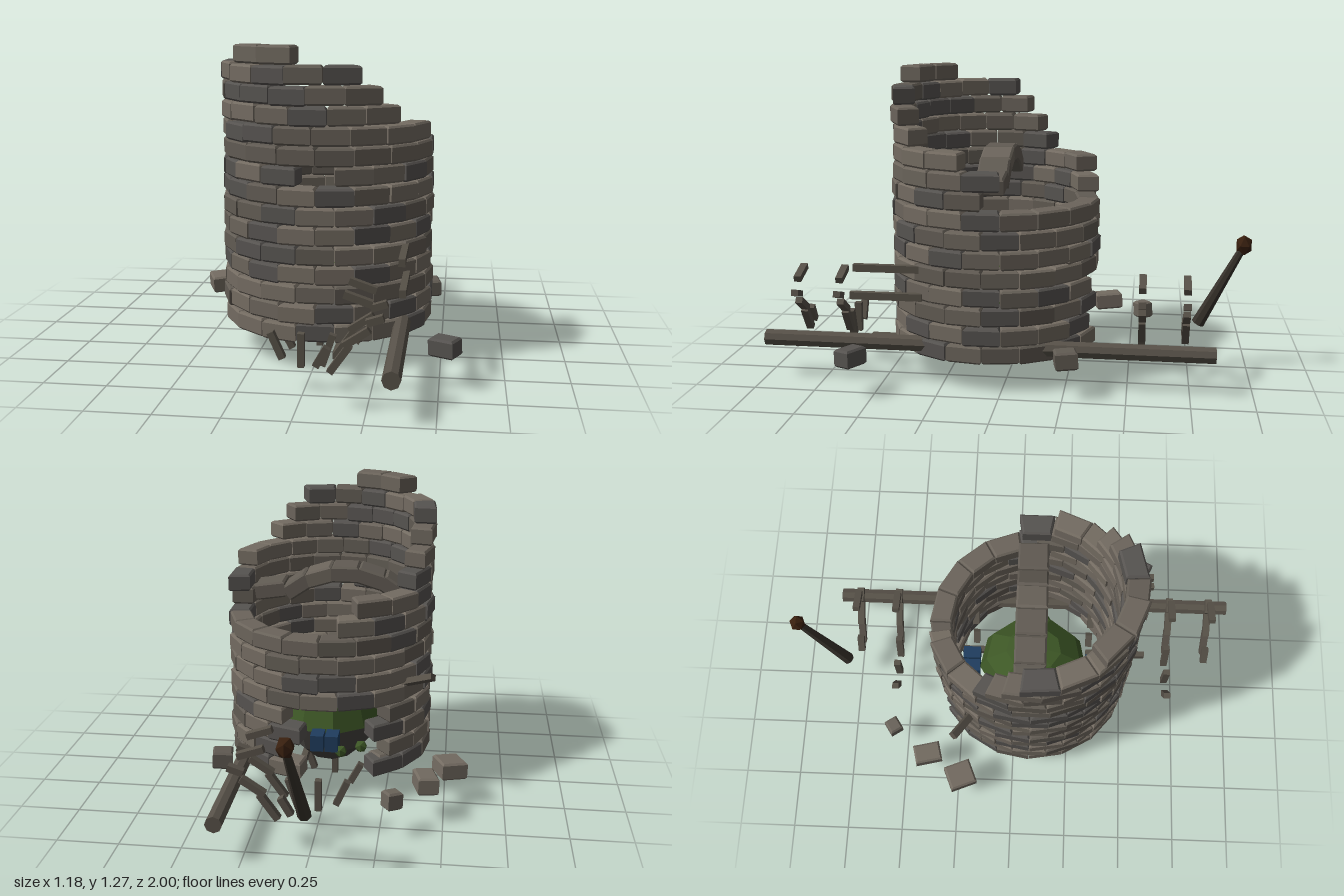
import * as THREE from 'three';

const CX = 0.015, CZ = 0.075, OUTER = 0.442, INNER = 0.35, PITCH = 0.0772;
const rad = THREE.MathUtils.degToRad;

let seed = 7;
const rnd = () => (seed = (seed * 16807) % 2147483647) / 2147483647;

const paint = (color) => new THREE.MeshStandardMaterial({ color, flatShading: true, side: THREE.DoubleSide });
const stones = [0x6b645b, 0x615b53, 0x565350, 0x736b61].map(paint);
const wood = paint(0x575148), darkWood = paint(0x38332c), ember = paint(0x39200f);
const moss = paint(0x3d5726), rock = paint(0x45433f), blue = paint(0x1f3d5e);
const anyStone = () => stones[Math.floor(rnd() * stones.length)];

function add(parent, name, geometry, material, x = 0, y = 0, z = 0) {
  const mesh = new THREE.Mesh(geometry, material);
  mesh.name = name;
  mesh.position.set(x, y, z);
  parent.add(mesh);
  return mesh;
}

// Chamfered block: a four-cornered outline extruded upwards, centred on y = 0
function block(corners, height, bevel = 0.008) {
  const shape = new THREE.Shape(corners.map(([x, y]) => new THREE.Vector2(x, y)));
  const g = new THREE.ExtrudeGeometry(shape, {
    depth: height - 2 * bevel, bevelEnabled: true, bevelSegments: 1,
    bevelThickness: bevel, bevelSize: bevel, bevelOffset: -bevel,
  });
  return g.translate(0, 0, bevel - height / 2).rotateX(-Math.PI / 2);
}

const boxBlock = (w, h, d) =>
  block([[-w / 2, -d / 2], [w / 2, -d / 2], [w / 2, d / 2], [-w / 2, d / 2]], h);

// Wedge-shaped wall brick facing +x, spanning 20 degrees
const half = rad(9.8);
const wallBrick = block([
  [INNER * Math.cos(half), -INNER * Math.sin(half)], [OUTER * Math.cos(half), -OUTER * Math.sin(half)],
  [OUTER * Math.cos(half), OUTER * Math.sin(half)], [INNER * Math.cos(half), INNER * Math.sin(half)],
], 0.073);

// Beam between two points
function bar(parent, name, a, b, geometryFor, material) {
  const p = new THREE.Vector3(...a), q = new THREE.Vector3(...b);
  const mesh = add(parent, name, geometryFor(p.distanceTo(q)), material);
  mesh.position.copy(p).lerp(q, 0.5);
  mesh.quaternion.setFromUnitVectors(new THREE.Vector3(0, 1, 0), q.sub(p).normalize());
  return mesh;
}
const plank = (l) => new THREE.BoxGeometry(0.026, l, 0.03);

function buildTower() {
  const tower = new THREE.Group();
  tower.name = 'tower';
  // Broken upper courses: [start angle, brick count]
  const broken = { 8: [0, 13], 9: [-10, 13], 10: [12, 10], 11: [44, 8], 12: [55, 7], 13: [66, 6], 14: [102, 2] };
  for (let row = 0; row < 15; row++) {
    const course = new THREE.Group();
    course.name = `course${row + 1}`;
    const [start, count] = broken[row] ?? [(row % 2) * 10, 18];
    for (let i = 0; i < count; i++) {
      const angle = start + 20 * i + 10;
      const doorway = row < 4 && angle > 234 && angle < 284;
      const window = row === 8 && angle === 90;
      if (doorway || window) continue;
      const brick = add(course, 'wallBrick', wallBrick, anyStone(), CX, 0.162 + row * PITCH, CZ);
      brick.rotation.set((rnd() - 0.5) * 0.012, -rad(angle), (rnd() - 0.5) * 0.012);
      const s = 0.985 + rnd() * 0.025;
      brick.scale.set(s, 1, s);
    }
    tower.add(course);
  }
  return tower;
}

function buildArch() {
  const arch = new THREE.Group();
  arch.name = 'innerArch';
  // Shallow arch of blocks crossing the inside of the tower
  const geo = boxBlock(0.115, 0.07, 0.13);
  for (let i = -2; i <= 2; i++) {
    const a = i * 0.3;
    const b = add(arch, 'archBlock', geo, anyStone(), -0.05 + 0.36 * Math.sin(a), 0.57 + 0.34 * Math.cos(a), 0.065);
    b.rotation.z = -a;
  }
  add(arch, 'archBlock', boxBlock(0.13, 0.07, 0.13), anyStone(), 0.27, 0.83, 0.065).rotation.z = -0.15;
  return arch;
}

function buildRubble() {
  const rubble = new THREE.Group();
  rubble.name = 'rubble';
  // [x, y, z, width, depth, turn]
  [
    [-0.52, 0.162, -0.235, 0.11, 0.12, 0.4], [-0.425, 0.165, -0.39, 0.085, 0.12, 0.25],
    [-0.3, 0.162, -0.555, 0.065, 0.06, 0.6], [0.44, 0.162, -0.26, 0.085, 0.09, 0.2],
    [0.52, 0.162, 0.59, 0.105, 0.075, -0.5], [-0.24, 0.19, 0.22, 0.09, 0.13, -0.5],
    [-0.28, 0.17, 0.05, 0.08, 0.13, 0.2], [-0.24, 0.165, -0.2, 0.1, 0.08, 0.7],
  ].forEach(([x, y, z, w, d, turn]) => {
    add(rubble, 'fallenBrick', boxBlock(w, 0.073, d), anyStone(), x, y, z).rotation.set(0.05, turn, 0.04);
  });
  return rubble;
}

function buildMound() {
  const mound = new THREE.Group();
  mound.name = 'mound';
  // Rocky underside with a mossy cap, both faceted
  [[0, Math.PI / 2, moss, 'mossCap'], [Math.PI / 2, Math.PI / 2, rock, 'rockBase']].forEach(([from, span, mat, name]) => {
    const g = new THREE.SphereGeometry(1, 9, 3, 0, Math.PI * 2, from, span);
    add(mound, name, g, mat, 0.015, 0.25, 0.08).scale.set(0.21, 0.2, 0.25);
  });
  // Small tufts and blue scraps around it
  [[0.18, 0.34, 0.03], [0.18, 0.34, 0.13], [-0.1, 0.41, 0.12], [-0.06, 0.2, -0.22], [-0.14, 0.2, -0.16]]
    .forEach((p) => add(mound, 'tuft', new THREE.IcosahedronGeometry(0.028, 0), moss, ...p));
  [[-0.022, 0.24, -0.205], [0.04, 0.24, -0.205], [-0.03, 0.2, 0.36], [0.03, 0.2, 0.36]].forEach(([x, y, z], i) => {
    add(mound, 'blueScrap', new THREE.BoxGeometry(0.055, 0.07, 0.08), blue, x, y, z).rotation.y = i > 1 ? 0.5 - i * 0.2 : 0;
  });
  return mound;
}

function buildTimber() {
  const timber = new THREE.Group();
  timber.name = 'timber';
  // Long round beam lying beside the wall
  bar(timber, 'longBeam', [0.345, 0.17, -0.85], [0.345, 0.17, 1], (l) => new THREE.CylinderGeometry(0.034, 0.034, l, 8), wood);

  // Fans of broken slats, mirrored about the middle: distance, then [x1, y1, x2, y2]
  const upper = [[0.12, 0.15, 0.19, 0.25], [0.17, 0.25, 0.26, 0.31], [0.25, 0.335, 0.31, 0.355], [0.17, 0.437, 0.27, 0.403]];
  const fans = [
    [0.81, [[0.07, 0.17, 0.11, 0.24], ...upper]],
    [0.63, [[-0.125, 0.23, -0.08, 0.13], [-0.01, 0.23, -0.01, 0.1], [0.07, 0.11, 0.11, 0.23], ...upper]],
    [0.27, [[-0.145, 0.135, -0.1, 0.05], [0.16, 0.085, 0.2, 0.135], [0.2, 0.23, 0.29, 0.3]]],
    [0.09, [[-0.012, 0.14, -0.012, 0.005], [0.08, 0.02, 0.115, 0.12]]],
  ];
  for (const [d, slats] of fans)
    for (const side of [-1, 1])
      for (const [x1, y1, x2, y2] of slats) {
        const z = CZ + side * d;
        bar(timber, 'slat', [x1, y1, z], [x2, y2, z], plank, wood);
      }

  // Slats lying front to back and one poking through the wall
  [
    [[0.355, 0.485, 0.33], [0.355, 0.485, 0.615]], [[0.36, 0.37, 0.33], [0.36, 0.37, 0.63]],
    [[0.11, 0.115, 0.33], [0.11, 0.115, 0.61]], [[0.11, 0.115, -0.26], [0.11, 0.115, 0]],
    [[-0.44, 0.565, -0.25], [-0.2, 0.45, -0.1]],
  ].forEach(([a, b]) => bar(timber, 'looseSlat', a, b, plank, wood));
  return timber;
}

function buildTorch() {
  const torch = new THREE.Group();
  torch.name = 'torch';
  bar(torch, 'shaft', [0.01, 0.2, -0.79], [0.047, 0.53, -0.955], (l) => new THREE.CylinderGeometry(0.016, 0.028, l, 7), darkWood);
  add(torch, 'head', new THREE.IcosahedronGeometry(0.036, 0), ember, 0.049, 0.555, -0.966).scale.y = 1.25;
  return torch;
}

export function createModel() {
  const model = new THREE.Group();
  model.name = 'ruinedTower';
  model.add(buildTower(), buildArch(), buildRubble(), buildMound(), buildTimber(), buildTorch());
  return model;
}
